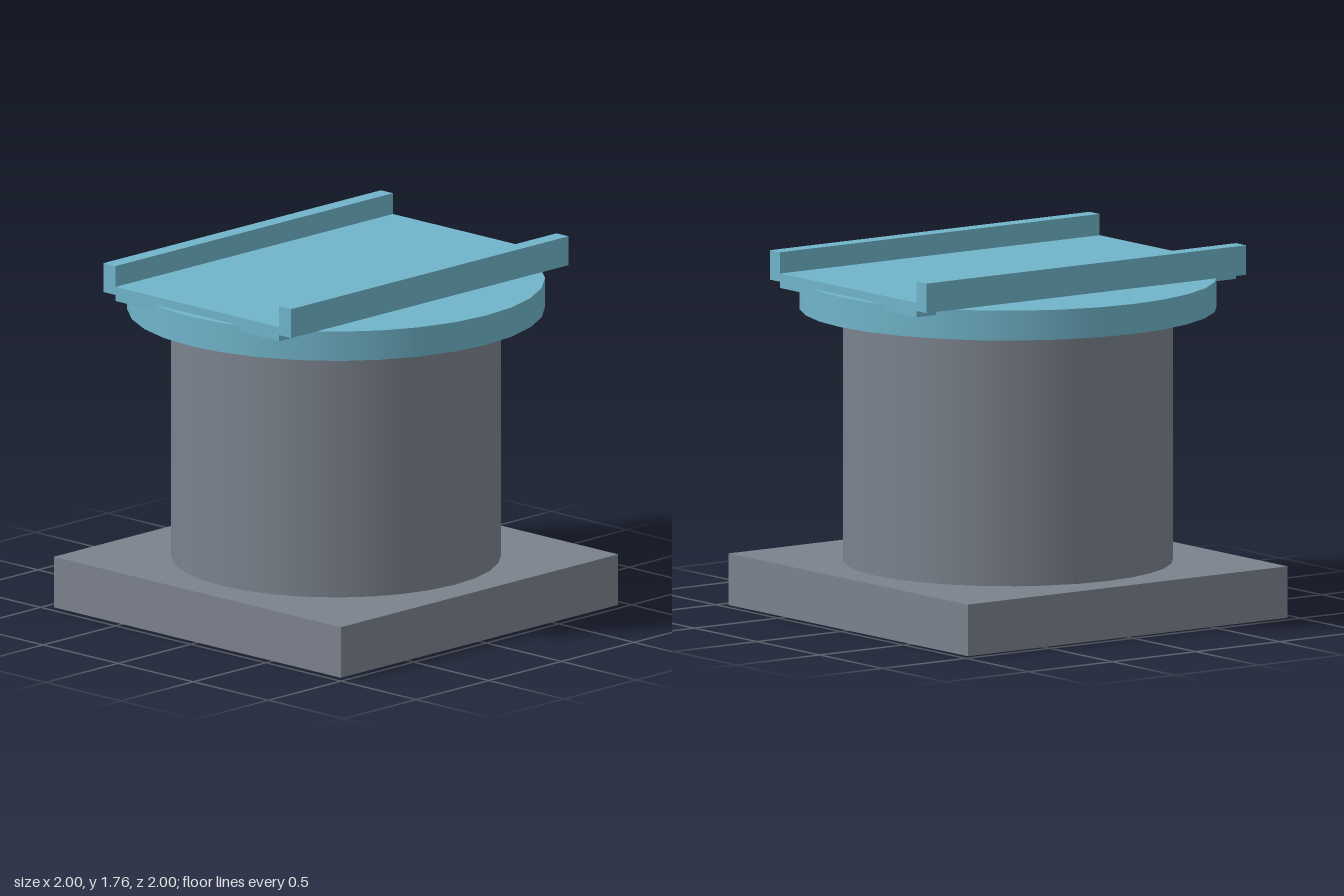
import * as THREE from 'three';

export function createModel() {
  const model = new THREE.Group();
  const grey = new THREE.MeshStandardMaterial({ color: 0x7b828d });
  grey.name = 'slate grey';
  const blue = new THREE.MeshStandardMaterial({ color: 0x70b4ca });
  blue.name = 'pale blue';

  const add = (name, geometry, material, y, z = 0) => {
    const mesh = new THREE.Mesh(geometry, material);
    mesh.name = name;
    mesh.position.set(0, y, z);
    model.add(mesh);
  };
  // Parts are given by their bottom and top heights
  const box = (name, width, depth, y0, y1, material, z = 0) =>
    add(name, new THREE.BoxGeometry(width, y1 - y0, depth), material, (y0 + y1) / 2, z);
  const drum = (name, radius, y0, y1, material) =>
    add(name, new THREE.CylinderGeometry(radius, radius, y1 - y0, 32), material, (y0 + y1) / 2);

  // Fixed lower half: square foot and round column
  box('base', 1.91, 1.91, 0, 0.25, grey);
  drum('column', 0.79, 0.25, 1.46, grey);

  // Turning upper half, with a narrow gap above the column
  drum('turntable', 1, 1.475, 1.62, blue);
  box('deck', 1.91, 1.09, 1.59, 1.66, blue);

  // Side rails along the deck, resting on the turntable
  for (const side of [1, -1]) {
    box(side > 0 ? 'frontRail' : 'backRail', 1.91, 0.08, 1.62, 1.763, blue, side * 0.584);
  }
  return model;
}
